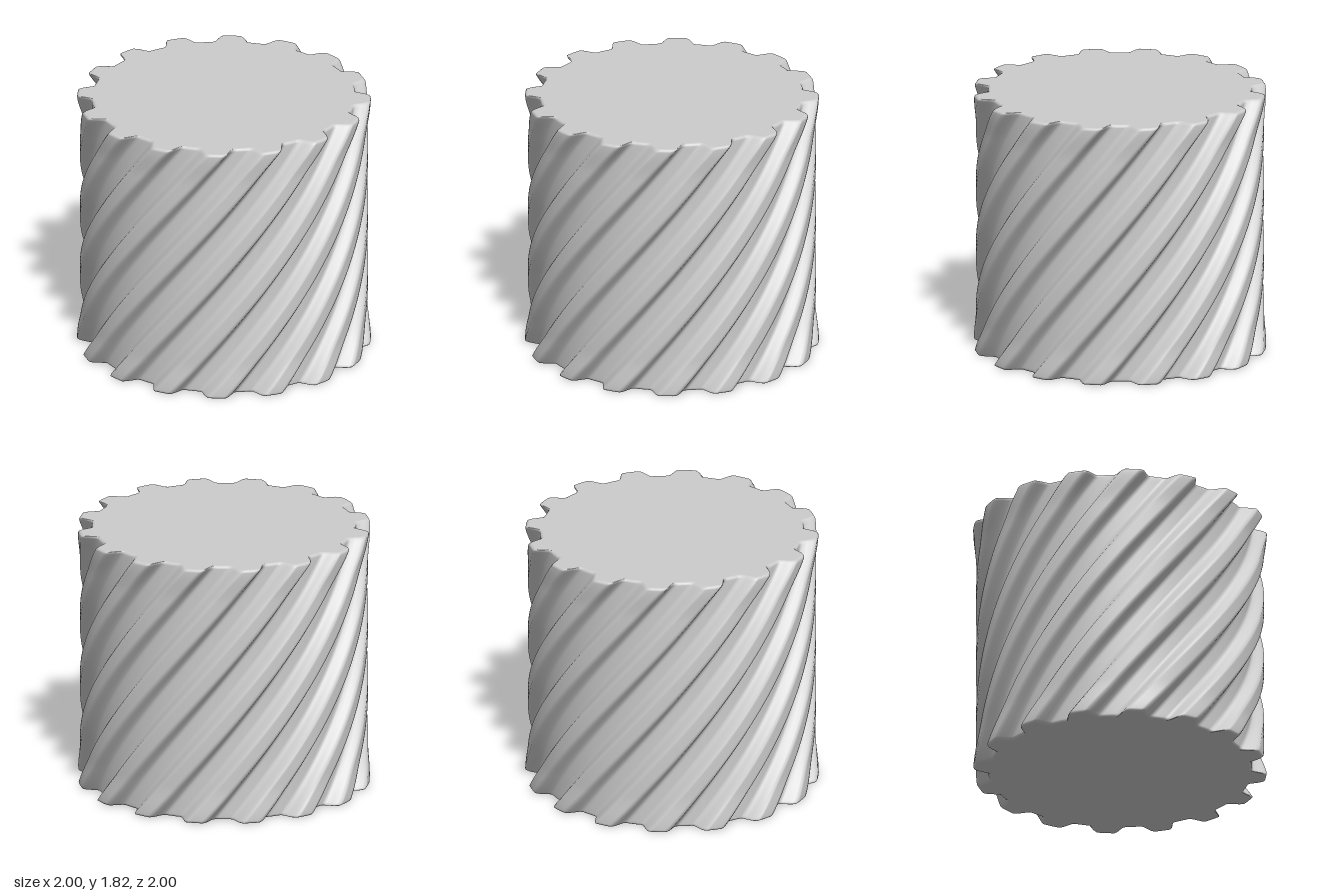
import * as THREE from 'three';

const TEETH = 16, HEIGHT = 1.82, TWIST = Math.PI / 2;
const PITCH = (Math.PI * 2) / TEETH;
const PHASE = THREE.MathUtils.degToRad(-5.5); // centre of a groove on the front
const STEPS = 20;                              // points around one tooth
const COUNT = TEETH * STEPS;

// Groove-to-crest radius at an angle, with softly rounded corners
function radiusAt(angle, y) {
  const a = Math.abs(((angle / PITCH) % 1 + 1) % 1 - 0.5) * 2; // 1 = groove, 0 = crest
  const t = 1 - THREE.MathUtils.smoothstep(a, 0.28, 0.68);
  const end = Math.min(y, HEIGHT - y);
  const crest = 0.98 + 0.02 * (1 - THREE.MathUtils.smoothstep(end, 0, 0.25));
  return THREE.MathUtils.lerp(0.9, crest, t);
}

// One twisted cross-section, optionally inset for the rounded rim
function ring(y, inset) {
  const turn = PHASE + TWIST * (y / HEIGHT);
  return Array.from({ length: COUNT }, (_, i) => {
    const a = (i / COUNT) * Math.PI * 2;
    const r = radiusAt(a, y) - inset;
    return [Math.sin(a + turn) * r, y, Math.cos(a + turn) * r];
  });
}

function geometryFrom(points, index) {
  const g = new THREE.BufferGeometry();
  g.setAttribute('position', new THREE.Float32BufferAttribute(points.flat(), 3));
  g.setIndex(index);
  g.computeVertexNormals();
  return g;
}

// Fluted wall with small rounded rims at both ends
function wallGeometry() {
  const bevel = 0.02, rows = [];
  for (let i = 0; i <= 4; i++) {
    const a = (i / 4) * Math.PI / 2;
    rows.push([bevel * (1 - Math.sin(a)), bevel * (1 - Math.cos(a))].reverse());
  }
  const levels = rows.map(([y, inset]) => [y, inset]);
  for (let i = 1; i < 64; i++) levels.push([bevel + (HEIGHT - 2 * bevel) * (i / 64), 0]);
  rows.slice().reverse().forEach(([y, inset]) => levels.push([HEIGHT - y, inset]));

  const points = levels.flatMap(([y, inset]) => ring(y, inset));
  const index = [];
  for (let j = 0; j < levels.length - 1; j++) {
    for (let i = 0; i < COUNT; i++) {
      const n = (i + 1) % COUNT;
      const a = j * COUNT + i, b = j * COUNT + n;
      index.push(a, b, b + COUNT, a, b + COUNT, a + COUNT);
    }
  }
  return geometryFrom(points, index);
}

// Flat end face, fanned out from the axis
function capGeometry(y, up) {
  const points = [...ring(y, 0.02), [0, y, 0]];
  const index = [];
  for (let i = 0; i < COUNT; i++) {
    const n = (i + 1) % COUNT;
    index.push(COUNT, up ? i : n, up ? n : i);
  }
  return geometryFrom(points, index);
}

export function createModel() {
  const group = new THREE.Group();
  group.name = 'twistedFlutedCylinder';
  const material = new THREE.MeshStandardMaterial({ color: 0xcccccc });
  const add = (name, geometry) => {
    const mesh = new THREE.Mesh(geometry, material);
    mesh.name = name;
    group.add(mesh);
  };
  add('flutedWall', wallGeometry());
  add('topFace', capGeometry(HEIGHT, true));
  add('bottomFace', capGeometry(0, false));
  return group;
}
